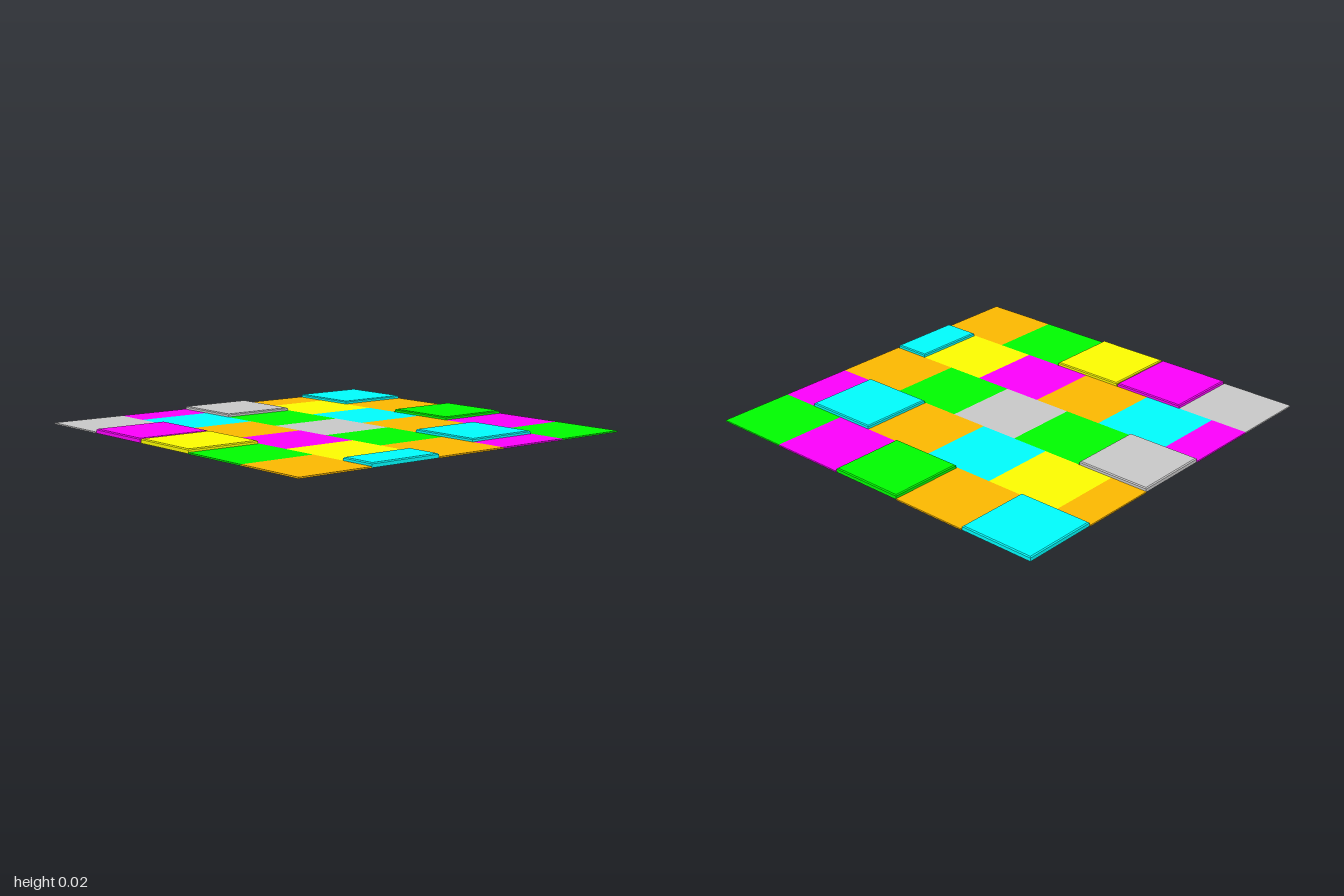
import * as THREE from 'three';

const COLORS = { c: 0x00ffff, o: 0xffbb00, g: 0x00ff00, m: 0xff00ff, y: 0xffff00, w: 0xcccccc };
const NAMES = { c: 'cyan', o: 'orange', g: 'green', m: 'magenta', y: 'yellow', w: 'grey' };

const TILE = 0.4, GAP = 0.004, BEVEL = 0.005;
const FLAT = 0.007, RAISED = 0.022;

// Rows from back to front; capital letters are raised tiles.
// Six-tile rows are shifted by half a tile, with half tiles at both ends.
const ROWS = ['CoGmg', 'oycoCm', 'Wgwgo', 'mcomyC', 'wMYgo'];

// Raised tile: a slab with small gaps around it and a chamfered top edge
function raisedGeometry(width) {
  const w = width / 2 - GAP - BEVEL, d = TILE / 2 - GAP - BEVEL;
  const shape = new THREE.Shape([
    new THREE.Vector2(-w, -d), new THREE.Vector2(w, -d),
    new THREE.Vector2(w, d), new THREE.Vector2(-w, d),
  ]);
  const geometry = new THREE.ExtrudeGeometry(shape, {
    depth: RAISED - BEVEL, bevelSize: BEVEL, bevelThickness: BEVEL, bevelSegments: 1,
  });
  geometry.rotateX(-Math.PI / 2);
  // Square off the lower chamfer so that the underside is flat at full width
  const p = geometry.attributes.position;
  for (let i = 0; i < p.count; i++) {
    if (p.getY(i) < 0.0001) {
      p.setXYZ(i, Math.sign(p.getX(i)) * (w + BEVEL), 0, Math.sign(p.getZ(i)) * (d + BEVEL));
    }
  }
  geometry.computeVertexNormals();
  return geometry;
}

// Flat tile: a thin slab filling its whole cell
function flatGeometry(width) {
  return new THREE.BoxGeometry(width, FLAT, TILE).translate(0, FLAT / 2, 0);
}

export function createModel() {
  const model = new THREE.Group();
  model.name = 'tiledFloor';
  const materials = {};
  for (const key in COLORS) {
    materials[key] = new THREE.MeshStandardMaterial({ color: COLORS[key], flatShading: true });
  }

  ROWS.forEach((row, r) => {
    const rowGroup = new THREE.Group();
    rowGroup.name = `tileRow${r + 1}`;
    rowGroup.position.z = -0.8 + r * TILE;
    let x = -1;
    [...row].forEach((letter, i) => {
      const half = row.length === 6 && (i === 0 || i === 5);
      const width = half ? TILE / 2 : TILE;
      const key = letter.toLowerCase();
      const raised = letter !== key;
      const tile = new THREE.Mesh(raised ? raisedGeometry(width) : flatGeometry(width), materials[key]);
      tile.name = `${NAMES[key]}${raised ? 'Raised' : 'Flat'}Tile`;
      tile.position.x = x + width / 2;
      x += width;
      rowGroup.add(tile);
    });
    model.add(rowGroup);
  });
  return model;
}
